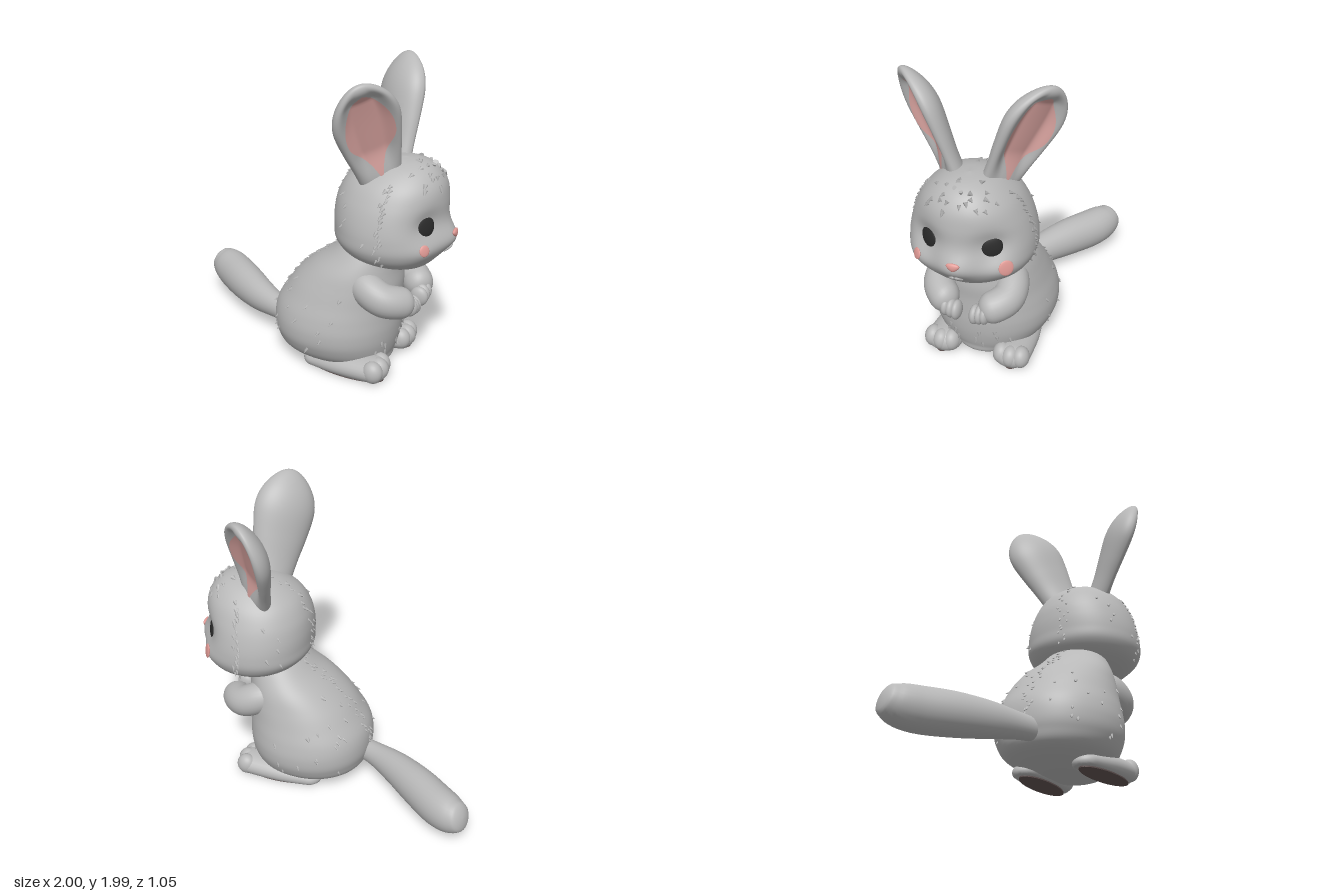
import * as THREE from 'three';
import { mergeGeometries } from 'three/addons/utils/BufferGeometryUtils.js';

const V = (x, y, z) => new THREE.Vector3(x, y, z);
const { smoothstep } = THREE.MathUtils;
const material = (name, color) => Object.assign(new THREE.MeshStandardMaterial({ color }), { name });

// Smooth curve through plain numbers
function spline(values) {
  const c = new THREE.CatmullRomCurve3(values.map((v) => V(v, 0, 0)), false, 'catmullrom');
  return (t) => c.getPoint(t).x;
}

// Surface from fn(u, v); faces look along dv x du, wrap joins the u ends
function sheet(fn, nu, nv, wrap = true) {
  const pos = [], idx = [], row = wrap ? nu : nu + 1;
  for (let j = 0; j <= nv; j++) {
    for (let i = 0; i < row; i++) pos.push(...fn(i / nu, j / nv).toArray());
  }
  for (let j = 0; j < nv; j++) {
    for (let i = 0; i < nu; i++) {
      const a = j * row + i, b = j * row + ((i + 1) % row);
      idx.push(a, a + row, b, b, a + row, b + row);
    }
  }
  const g = new THREE.BufferGeometry();
  g.setAttribute('position', new THREE.Float32BufferAttribute(pos, 3));
  g.setIndex(idx);
  g.computeVertexNormals();
  return g;
}

// Upright form from rings [y, centre x, radius x, radius z]; relief(y, z) pushes the front along x
function stack(rings, power, relief = () => 0) {
  const [y, cx, rx, rz] = [0, 1, 2, 3].map((k) => spline(rings.map((r) => r[k])));
  const pw = (n) => Math.sign(n) * Math.abs(n) ** power;
  const at = (t, a) => {
    const c = Math.cos(a), z = rz(t) * pw(Math.sin(a));
    return V(cx(t) + rx(t) * pw(c) + relief(y(t), z) * smoothstep(c, 0, 0.4), y(t), z);
  };
  const findT = (h) => {
    let lo = 0, hi = 1;
    for (let i = 0; i < 30; i++) { const m = (lo + hi) / 2; if (y(m) < h) lo = m; else hi = m; }
    return lo;
  };
  const atY = (h, a) => {
    const t = findT(h), p = at(t, a), e = 0.01;
    const dv = at(Math.min(1, t + e), a).sub(at(Math.max(0, t - e), a));
    const du = at(t, a + e).sub(at(t, a - e));
    return { p, n: dv.cross(du).normalize() };
  };
  const front = (h, z) => atY(h, Math.asin(Math.sign(z) * (Math.abs(z) / rz(findT(h))) ** (1 / power)));
  return { geometry: sheet((u, v) => at(v, u * Math.PI * 2), 96, 72), atY, front };
}

// Tapered, round-ended limb along a path; k widens it sideways
function limb(points, radii, k = 1, floor = -1, cap = 0.13) {
  const curve = new THREE.CatmullRomCurve3(points.map((p) => V(...p)));
  const radius = spline(radii);
  const end = (d) => (d < cap ? Math.sqrt(Math.max(0, 1 - (1 - d / cap) ** 2)) : 1);
  return sheet((u, j) => {
    const v = (1 - Math.cos(Math.PI * j)) / 2, a = u * Math.PI * 2;
    const T = curve.getTangent(v), S = T.clone().cross(V(0, 1, 0)).normalize(), U = S.clone().cross(T);
    const r = radius(v) * end(v) * end(1 - v);
    const p = curve.getPoint(v).addScaledVector(S, r * k * Math.cos(a)).addScaledVector(U, r * Math.sin(a));
    p.y = Math.max(p.y, floor);
    return p;
  }, 28, 36);
}

// Outer shell and inner lining of one ear
function ear(s) {
  const base = V(0.55, 1.33, 0.14 * s), A = V(0.5, 1.985, 0.455 * s).sub(base);
  const L = A.length();
  A.normalize();
  const N = V(0.6, 0, 0.8 * s);
  N.addScaledVector(A, -N.dot(A)).normalize();
  const W = A.clone().cross(N);
  const width = spline([0.13, 0.155, 0.185, 0.207, 0.207, 0.18]);
  const thick = spline([0.085, 0.09, 0.105, 0.12, 0.12, 0.1]);
  const point = (a, v, lift = 0) => {
    const tip = v > 0.6 ? Math.sqrt(Math.max(0, 1 - ((v - 0.6) / 0.4) ** 2)) : 1;
    const side = Math.sin(a), t = thick(v) * tip;
    const dent = side > 0
      ? (1 - smoothstep(Math.abs(Math.cos(a)), 0.35, 0.95)) * smoothstep(v, 0, 0.35) * (1 - smoothstep(v, 0.82, 1)) : 0;
    return base.clone().addScaledVector(A, L * v).addScaledVector(W, width(v) * tip * Math.cos(a))
      .addScaledVector(N, t * (side * (side > 0 ? 0.6 : 1) - 0.72 * dent) + lift);
  };
  const shell = sheet((u, j) => point(u * Math.PI * 2, Math.sin(j * Math.PI / 2)), 64, 48);
  const lining = sheet((u, j) => {
    const q = 0.76 * Math.max(0, Math.sin(Math.PI * j)) ** 0.55 * (0.35 + 0.65 * smoothstep(j, 0, 0.5));
    const edge = Math.acos(q);
    return point(edge + (Math.PI - 2 * edge) * u, 0.08 + 0.83 * j, 0.006);
  }, 28, 40, false);
  return { shell, lining };
}

export function createModel() {
  const fur = material('grey fur', 0xb8b8b8), pink = material('inner ear pink', 0xdba5a1);
  const rose = material('nose and cheek pink', 0xe09a95), black = material('eye black', 0x2a2a2a);
  const brown = material('sole brown', 0x625453);
  const model = new THREE.Group();
  const add = (parent, name, geometry, mat) => {
    const m = new THREE.Mesh(geometry, mat);
    m.name = name;
    parent.add(m);
    return m;
  };
  const ball = (parent, name, mat, p, r) => {
    const m = add(parent, name, new THREE.SphereGeometry(1, 28, 20), mat);
    m.position.set(...p);
    m.scale.set(...r);
    return m;
  };
  let seed = 7;
  const rnd = (lo, hi) => {
    seed = (seed * 16807) % 2147483647;
    return lo + (hi - lo) * seed / 2147483647;
  };

  // Small fur points scattered over [count, y low, y high, angle, spread] regions
  const tufts = (form, regions) => {
    const list = [];
    for (const [count, y0, y1, angle, spread] of regions) {
      for (let i = 0; i < count; i++) {
        const { p, n } = form.atY(y0 + (y1 - y0) * (i + rnd(0, 1)) / count, angle + rnd(-spread, spread));
        const dir = n.clone().multiplyScalar(0.45).add(V(-0.25, -0.45, 0)).normalize();
        const g = new THREE.ConeGeometry(rnd(0.011, 0.017), rnd(0.03, 0.045), 7);
        g.applyQuaternion(new THREE.Quaternion().setFromUnitVectors(V(0, 1, 0), dir));
        const c = p.addScaledVector(dir, 0.004);
        list.push(g.translate(c.x, c.y, c.z));
      }
    }
    return mergeGeometries(list);
  };

  // Body
  const body = stack([
    [0.02, 0.33, 0, 0], [0.03, 0.33, 0.24, 0.18], [0.1, 0.24, 0.37, 0.33], [0.2, 0.225, 0.41, 0.395],
    [0.3, 0.225, 0.42, 0.41], [0.4, 0.235, 0.41, 0.395], [0.5, 0.265, 0.38, 0.365], [0.6, 0.305, 0.345, 0.335],
    [0.7, 0.355, 0.285, 0.3], [0.8, 0.42, 0.215, 0.245], [0.9, 0.47, 0.16, 0.18],
  ], 0.95);
  add(model, 'body', body.geometry, fur);
  add(model, 'bodyTufts', tufts(body, [
    [26, 0.25, 0.87, Math.PI, 0.1], [14, 0.25, 0.8, Math.PI, 0.7], [12, 0.15, 0.55, 1.9, 0.6],
    [12, 0.15, 0.55, -1.9, 0.6], [12, 0.1, 0.25, 0, 0.7],
  ]), fur);

  // Tail
  add(model, 'tail', limb([[-0.08, 0.2, 0.04], [-0.25, 0.2, -0.02], [-0.43, 0.2, -0.11], [-0.62, 0.2, -0.235],
    [-0.8, 0.2, -0.365], [-0.9, 0.212, -0.425], [-0.985, 0.24, -0.46]],
  [0.07, 0.085, 0.115, 0.137, 0.14, 0.125, 0.085], 0.9, -1, 0.06), fur);

  // Arms, feet, toes and soles
  for (const s of [1, -1]) {
    const side = s > 0 ? 'left' : 'right';
    add(model, side + 'Arm', limb([[0.42, 0.66, 0.16 * s], [0.52, 0.62, 0.22 * s], [0.62, 0.575, 0.23 * s],
      [0.695, 0.55, 0.18 * s], [0.755, 0.525, 0.085 * s]], [0.1, 0.11, 0.108, 0.105, 0.098], 0.95, -1, 0.18), fur);
    for (const k of [-1, 0, 1]) {
      ball(model, side + 'Finger', fur, [0.758, 0.505 + 0.008 * k, (0.095 + 0.034 * k) * s], [0.06, 0.066, 0.034]);
    }
    add(model, side + 'Foot', limb([[0.08, 0.035, 0.21 * s], [0.35, 0.06, 0.225 * s], [0.675, 0.08, 0.24 * s]],
      [0.05, 0.08, 0.082], 1.48, 0.014, 0.13), fur);
    for (const k of [-1, 0, 1]) {
      ball(model, side + 'Toe', fur, [0.615 - 0.015 * Math.abs(k), 0.086, 0.24 * s + 0.064 * k], [0.068, 0.074, 0.058]);
    }
    const sole = add(model, side + 'Sole', new THREE.CylinderGeometry(1, 1, 0.008, 40), brown);
    sole.position.set(0.385, 0.009, 0.227 * s);
    sole.scale.set(0.265, 1, 0.09);
    sole.rotation.y = -0.06 * s;
  }

  // Head, turned slightly to one side about its own centre
  const turn = new THREE.Group(), head = new THREE.Group();
  turn.name = 'headTurn';
  head.name = 'head';
  turn.position.x = 0.58;
  turn.rotation.y = 0.065;
  head.position.x = -0.58;
  turn.add(head);
  model.add(turn);
  // Muzzle and cheek bulges, eye hollows
  const bump = (d, y, z, y0, z0, ry, rz) => d * Math.exp(-(((y - y0) / ry) ** 2) - ((Math.abs(z) - z0) / rz) ** 2);
  const skull = stack([
    [0.765, 0.66, 0, 0], [0.785, 0.645, 0.17, 0.19], [0.85, 0.605, 0.285, 0.325], [0.93, 0.585, 0.345, 0.382],
    [1.02, 0.58, 0.352, 0.388], [1.12, 0.58, 0.352, 0.37], [1.22, 0.588, 0.34, 0.335], [1.32, 0.605, 0.3, 0.278],
    [1.4, 0.63, 0.215, 0.19], [1.44, 0.645, 0.12, 0.1], [1.455, 0.65, 0, 0],
  ], 0.95, (y, z) => bump(0.058, y, z, 0.98, 0, 0.085, 0.13)
    + bump(0.025, y, z, 0.95, 0.27, 0.08, 0.09) + bump(-0.048, y, z, 1.1, 0.2, 0.1, 0.1));
  add(head, 'skull', skull.geometry, fur);
  add(head, 'headTufts', tufts(skull, [
    [22, 0.86, 1.36, 1.5, 0.05], [22, 0.86, 1.36, -1.5, 0.05], [22, 0.9, 1.44, Math.PI, 0.12],
    [5, 0.95, 1.25, 2.1, 0.4], [5, 0.95, 1.25, -2.1, 0.4], [24, 1.3, 1.45, 0, 1.1],
  ]), fur);

  // Nose and mouth
  const tip = skull.front(1.003, 0).p;
  const nose = ball(head, 'nose', rose, [tip.x - 0.004, 1.003, 0], [0.016, 0.028, 0.052]);
  const np = nose.geometry.attributes.position;
  for (let i = 0; i < np.count; i++) np.setZ(i, np.getZ(i) * (0.7 + 0.4 * np.getY(i)));
  nose.geometry.computeVertexNormals();
  for (const s of [1, -1]) {
    const path = [[0.922, 0.002], [0.912, 0.02], [0.888, 0.042]].map(([y, z]) => skull.front(y, z * s).p.toArray());
    add(head, 'lip', limb(path, [0.01, 0.011, 0.007]), fur);
  }

  // Eyes, cheeks and ears
  for (const s of [1, -1]) {
    const side = s > 0 ? 'left' : 'right';
    const spot = (name, mat, y, z, r, depth) => {
      const { p, n } = skull.front(y, z * s);
      const m = ball(head, side + name, mat, p.toArray(), [r, r * 1.06, depth]);
      m.lookAt(p.clone().add(n));
    };
    spot('Eye', black, 1.095, 0.19, 0.067, 0.02);
    spot('Cheek', rose, 0.97, s > 0 ? 0.262 : 0.28, s > 0 ? 0.034 : 0.046, 0.009);
    const { shell, lining } = ear(s);
    add(head, side + 'Ear', shell, fur);
    add(head, side + 'InnerEar', lining, pink);
  }
  return model;
}
